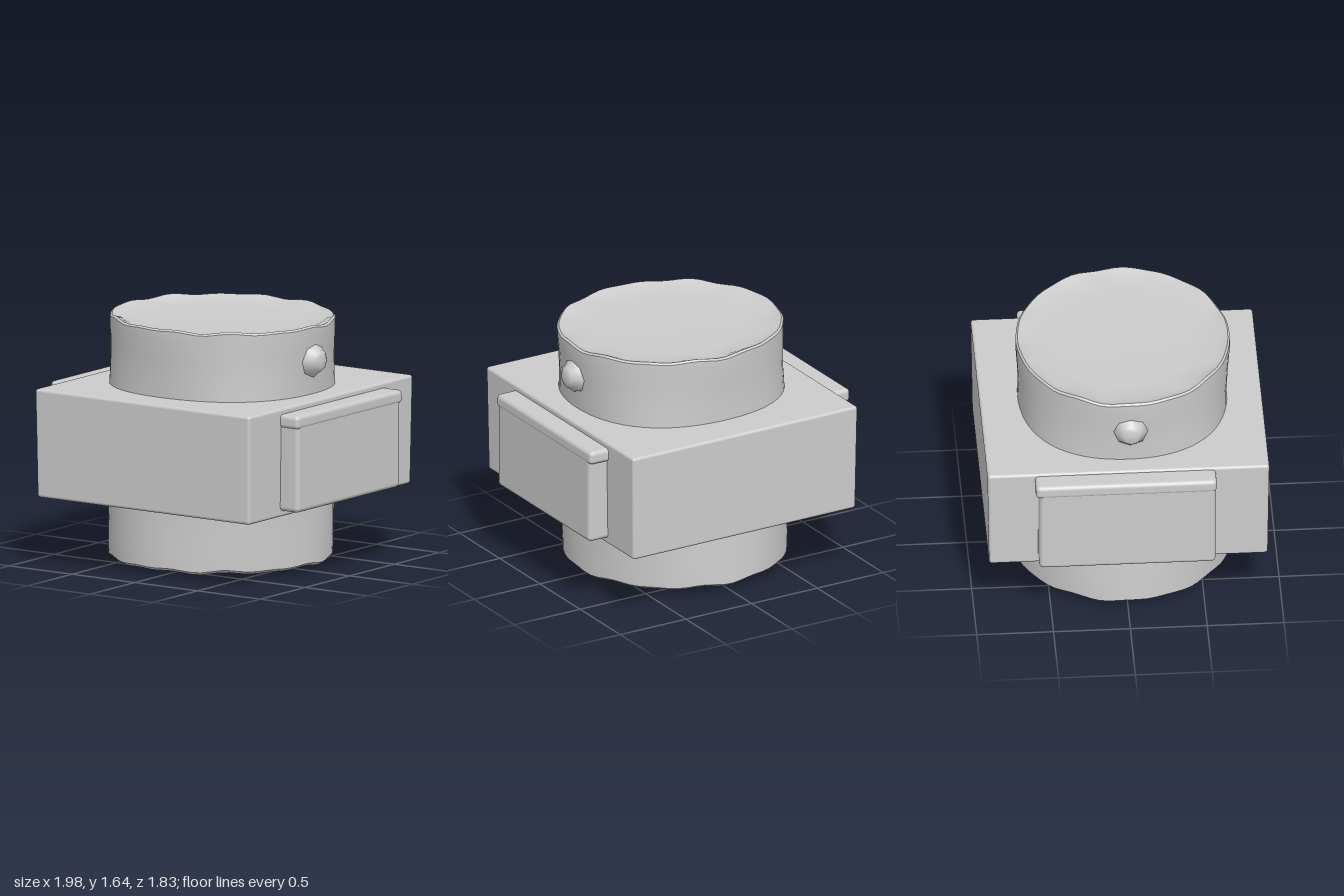
import * as THREE from 'three';
import { RoundedBoxGeometry } from 'three/addons/geometries/RoundedBoxGeometry.js';
import { toCreasedNormals } from 'three/addons/utils/BufferGeometryUtils.js';

const material = new THREE.MeshStandardMaterial({ color: 0xcccccc });

function addMesh(parent, name, geometry) {
  const mesh = new THREE.Mesh(geometry, material);
  mesh.name = name;
  parent.add(mesh);
  return mesh;
}

// Rounded block given by its limits, narrowing slightly towards the bottom
function block([x0, x1], [y0, y1], [z0, z1], radius, taper = 0) {
  const w = x1 - x0, h = y1 - y0, d = z1 - z0;
  const geo = new RoundedBoxGeometry(w, h, d, 3, radius);
  const p = geo.attributes.position;
  for (let i = 0; i < p.count; i++) {
    const k = 1 - taper * (0.5 - p.getY(i) / h);
    p.setX(i, p.getX(i) * k);
    p.setZ(i, p.getZ(i) * k);
  }
  return geo.translate((x0 + x1) / 2, (y0 + y1) / 2, (z0 + z1) / 2);
}

const lathe = (points, sides) =>
  new THREE.LatheGeometry(points.map(([r, y]) => new THREE.Vector2(r, y)), sides);

// Upright drum with a dished top, a slightly domed underside and a worn rim
function drumGeometry() {
  const geo = lathe([
    [0, 0.01], [0.35, 0.015], [0.6, 0.03], [0.7, 0.042], [0.725, 0.06], [0.725, 0.14],
    [0.72, 0.3], [0.718, 0.47], [0.718, 0.82], [0.718, 1.18], [0.715, 1.3], [0.72, 1.45],
    [0.728, 1.57], [0.728, 1.625], [0.715, 1.637], [0.695, 1.63], [0.64, 1.612], [0.5, 1.605], [0, 1.605],
  ], 72);
  const p = geo.attributes.position;
  for (let i = 0; i < p.count; i++) {
    const x = p.getX(i), y = p.getY(i), z = p.getZ(i);
    const r = Math.hypot(x, z), a = Math.atan2(z, x);
    const up = y / 1.64;
    // Wall swells at the diagonals where it meets the block
    const nearBlock = Math.max(0, 1 - Math.abs(y - 0.82) / 0.75);
    const k = 1 - 0.04 * nearBlock * Math.cos(4 * a);
    const worn = r > 0.69 && (y < 0.2 || y > 1.6)
      ? 0.005 * (Math.sin(9 * a) + Math.sin(14 * a + 1)) : 0;
    p.setXYZ(i,
      x * k * (1.01 + 0.02 * up) - 0.03 * (1 - up),
      y + worn,
      z * k * (1 - 0.045 * up) + 0.015 * up);
  }
  return toCreasedNormals(geo, 0.7);
}

// Small stud pointing along +x
function studGeometry() {
  const geo = lathe([[0.12, 0.68], [0.11, 0.735], [0.085, 0.76], [0.07, 0.785], [0.045, 0.8], [0, 0.803]], 8);
  return geo.rotateZ(-Math.PI / 2).translate(0, 1.41, 0.02);
}

export function createModel() {
  const group = new THREE.Group();

  addMesh(group, 'drum', drumGeometry());
  addMesh(group, 'block', block([-0.86, 0.853], [0.465, 1.183], [-0.92, 0.915], 0.02, 0.012));

  // Raised plates with an overhanging lip, and a stud above each
  for (const [side, s] of [['left', 1], ['right', -1]]) {
    const y0 = s > 0 ? 0.505 : 0.51, y1 = s > 0 ? 1.145 : 1.168;
    const span = (a, b) => (s > 0 ? [a, b] : [-b, -a]);
    addMesh(group, side + 'Plate', block(span(0.76, 0.985), [y0, y1 - 0.005], [-0.59, 0.557], 0.03));
    addMesh(group, side + 'PlateLip', block(span(0.78, 0.99), [y1 - 0.09, y1], [-0.613, 0.565], 0.028));
    const stud = addMesh(group, side + 'Stud', studGeometry());
    if (s < 0) {
      stud.rotation.y = Math.PI;
      stud.position.z = 0.04;
    }
  }
  return group;
}
